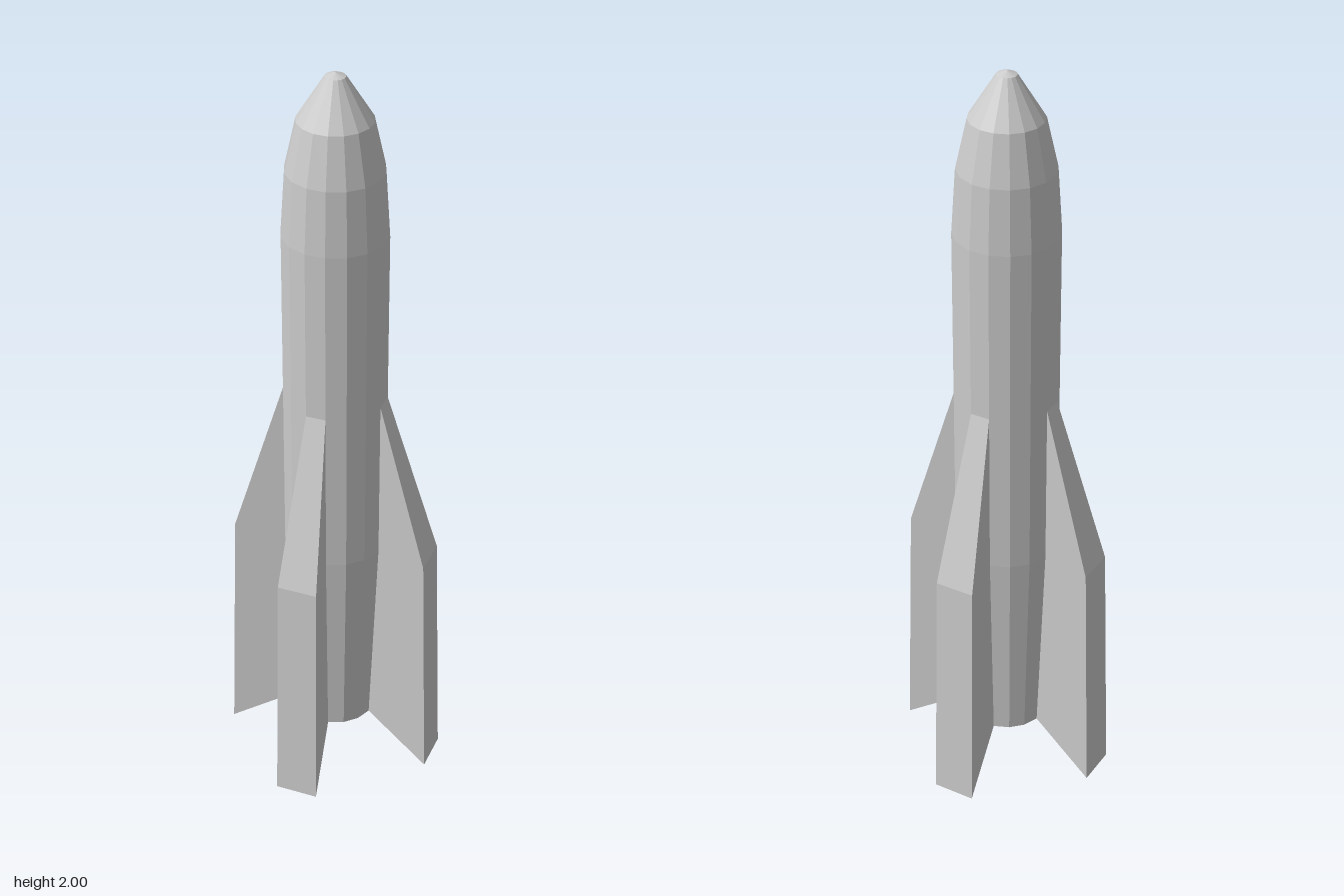
import * as THREE from 'three';

const SIDES = 16;
const material = new THREE.MeshStandardMaterial({ color: 0xcccccc, flatShading: true });

// Faceted fuselage, from the flat base up to the blunt nose tip
function createBody() {
  const profile = [
    [0, 0.11], [0.11, 0.11], [0.135, 0.67], [0.135, 1.58],
    [0.124, 1.75], [0.095, 1.88], [0.026, 1.99], [0, 2],
  ].map(([r, y]) => new THREE.Vector2(r, y));
  const body = new THREE.Mesh(new THREE.LatheGeometry(profile, SIDES), material);
  body.name = 'body';
  return body;
}

// Wedge fin: one outline repeated on two radial planes, one body facet apart
function createFinGeometry() {
  const outline = [[0.11, 0.11], [0.292, 0], [0.272, 0.67], [0.135, 0.67], [0.135, 1.12]];
  const positions = [];
  for (const angle of [0, (2 * Math.PI) / SIDES]) {
    for (const [r, y] of outline) positions.push(r * Math.cos(angle), y, r * Math.sin(angle));
  }
  const n = outline.length;
  const index = [];
  // The two flat sides
  for (const [a, b, c] of [[0, 1, 2], [0, 2, 3], [3, 2, 4]]) {
    index.push(a, c, b, a + n, b + n, c + n);
  }
  // Underside, outer face and sloping leading face
  for (const [a, b] of [[0, 1], [1, 2], [2, 4]]) {
    index.push(a, b, b + n, a, b + n, a + n);
  }
  const indexed = new THREE.BufferGeometry();
  indexed.setAttribute('position', new THREE.Float32BufferAttribute(positions, 3));
  indexed.setIndex(index);
  const geometry = indexed.toNonIndexed();
  geometry.computeVertexNormals();
  return geometry;
}

export function createModel() {
  const rocket = new THREE.Group();
  rocket.name = 'rocket';
  rocket.add(createBody());

  // Four fins, a quarter turn apart
  const finGeometry = createFinGeometry();
  for (let i = 0; i < 4; i++) {
    const fin = new THREE.Mesh(finGeometry, material);
    fin.name = `fin${i + 1}`;
    fin.rotation.y = (i * Math.PI) / 2;
    rocket.add(fin);
  }
  return rocket;
}
